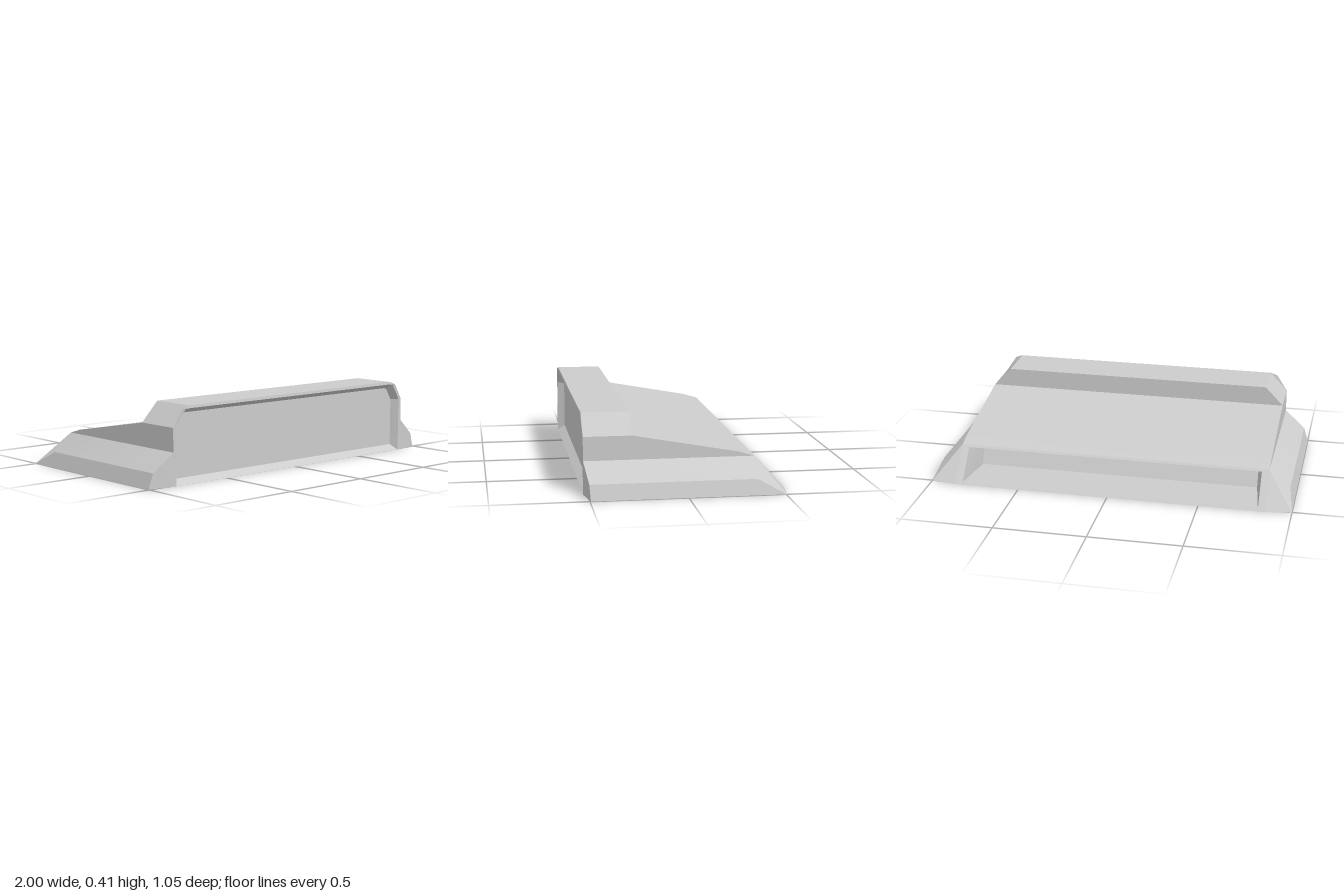
import * as THREE from 'three';
import { toCreasedNormals } from 'three/addons/utils/BufferGeometryUtils.js';

const v = (p) => new THREE.Vector3(...p);

// Builds a mesh from convex faces of the +x half, mirrored to -x.
// Each face is [outward direction, ...corners]; corners are turned to face outward.
function mirroredMesh(name, material, faces) {
  const pos = [];
  for (const [out, ...corners] of faces) {
    const [a, b, c] = corners.map(v);
    const normal = b.clone().sub(a).cross(c.clone().sub(a));
    const pts = normal.dot(v(out)) < 0 ? [...corners].reverse() : corners;
    for (let i = 1; i < pts.length - 1; i++) {
      const tri = [pts[0], pts[i], pts[i + 1]];
      for (const p of tri) pos.push(...p);
      for (const [x, y, z] of tri.reverse()) pos.push(-x, y, z);
    }
  }
  const geometry = new THREE.BufferGeometry();
  geometry.setAttribute('position', new THREE.Float32BufferAttribute(pos, 3));
  const mesh = new THREE.Mesh(toCreasedNormals(geometry, 0.35), material);
  mesh.name = name;
  return mesh;
}

// Faces joining two cross-section rows of equal length
const strip = (out, r1, r2) =>
  r1.slice(1).map((p, i) => [out, r1[i], p, r2[i + 1], r2[i]]);

const mid = ([, y, z]) => [0, y, z]; // same point on the centre line

export function createModel() {
  const group = new THREE.Group();
  const material = new THREE.MeshStandardMaterial({ color: 0xcccccc });
  const UP = [0, 1, 0], DOWN = [0, -1, 0], SIDE = [1, 0, 0], FRONT = [0, 0, 1], BACK = [0, 0, -1];

  // Sloping deck and side walls
  const deck = [[0.86, 0.3, 0.27], [0.86, 0.2, -0.28], [0.86, 0.175, -0.365]];
  group.add(mirroredMesh('body', material, [
    ...strip(UP, deck, deck.map(mid)),
    [SIDE, deck[2], [0.86, 0.175, 0.52], [0.86, 0.3, 0.52], deck[0], deck[1]],
  ]));

  // Raised block along the front edge
  const blockLow = [0.86, 0.3, 0.27], blockTop = [0.76, 0.405, 0.27], frontTop = [0.76, 0.405, 0.52];
  group.add(mirroredMesh('raisedBlock', material, [
    [UP, mid(blockTop), blockTop, frontTop, mid(frontTop)],
    [BACK, mid(blockLow), blockLow, blockTop, mid(blockTop)],
    [[1, 1, 0], blockTop, blockLow, [0.86, 0.3, 0.52], [0.8, 0.39, 0.525], frontTop],
  ]));

  // Front rim, its bevel, the sill and the recessed panel
  const outer = [[0, 0.405, 0.52], frontTop, [0.8, 0.39, 0.525], [0.86, 0.3, 0.52], [0.86, 0, 0.52]];
  const rim = [[0, 0.39, 0.522], [0.75, 0.39, 0.522], [0.785, 0.385, 0.522], [0.84, 0.3, 0.52], [0.84, 0, 0.52]];
  const inner = [[0, 0.365, 0.48], [0.755, 0.365, 0.48], [0.775, 0.36, 0.48], [0.815, 0.295, 0.48], [0.815, 0.03, 0.48]];
  group.add(mirroredMesh('frontFrame', material, [
    ...strip(FRONT, outer, rim),
    ...strip(FRONT, rim, inner),
    [FRONT, mid(rim[4]), rim[4], inner[4], mid(inner[4])],
  ]));
  group.add(mirroredMesh('frontPanel', material, [[FRONT, ...inner, mid(inner[4])]]));

  // Side skirts with angled ends
  const skirtFront = [[0.86, 0.175, 0.52], [0.975, 0.08, 0.5], [1, 0, 0.495]];
  const skirtBack = [[0.86, 0.175, -0.365], [0.975, 0.08, -0.357], [1, 0, -0.505]];
  const frontFoot = [0.86, 0, 0.52], backFoot = [0.86, 0, -0.525];
  group.add(mirroredMesh('sideSkirts', material, [
    ...strip([1, 0.5, 0], skirtFront, skirtBack),
    [FRONT, ...skirtFront, frontFoot],
    [BACK, ...skirtBack, backFoot],
  ]));

  // Back slope around the slot opening
  const slopeTop = skirtBack[0];
  const slotTop = [0.82, 0.164, -0.375], slotLow = [0.82, 0.011, -0.515];
  group.add(mirroredMesh('backSlope', material, [
    [BACK, mid(slopeTop), slopeTop, slotTop, mid(slotTop)],
    [BACK, slopeTop, backFoot, slotLow, slotTop],
    [BACK, mid(slotLow), slotLow, backFoot, mid(backFoot)],
  ]));

  // Inside of the back slot
  const floorEnd = [0.785, 0.011, -0.25], roofEnd = [0.785, 0.13, -0.2];
  group.add(mirroredMesh('backSlot', material, [
    [UP, mid(slotLow), slotLow, floorEnd, mid(floorEnd)],
    [BACK, mid(floorEnd), floorEnd, roofEnd, mid(roofEnd)],
    [DOWN, mid(slotTop), slotTop, roofEnd, mid(roofEnd)],
    [[-1, 0, 0], slotLow, floorEnd, roofEnd, slotTop],
  ]));

  // Flat underside
  group.add(mirroredMesh('underside', material, [
    [DOWN, mid(frontFoot), frontFoot, skirtFront[2], skirtBack[2], backFoot, mid(backFoot)],
  ]));

  return group;
}
